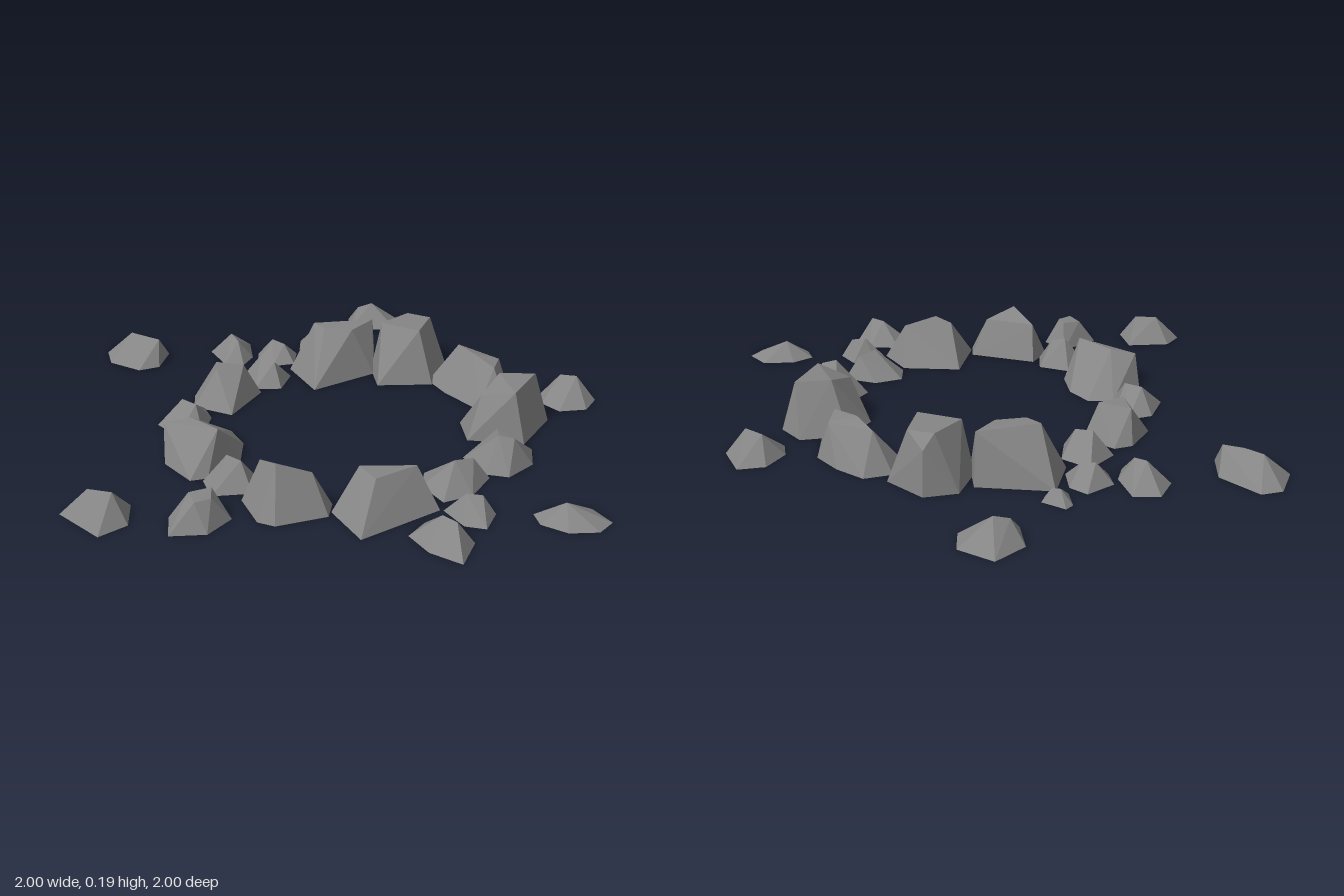
import * as THREE from 'three';
import { ConvexGeometry } from 'three/addons/geometries/ConvexGeometry.js';

// A ring of low-poly stones with smaller stones scattered around it.
export function createModel() {
  const model = new THREE.Group();
  model.name = 'stoneRing';
  const ring = new THREE.Group();
  ring.name = 'ringStones';
  const loose = new THREE.Group();
  loose.name = 'scatteredStones';
  model.add(ring, loose);

  const material = new THREE.MeshStandardMaterial({
    color: 0x858585, flatShading: true, side: THREE.DoubleSide,
  });

  // A stone is the hull of a ground outline [x, z] and a few crown points [x, y, z],
  // left open underneath.
  function stone(parent, name, outline, crown) {
    const points = outline.map(([x, z]) => new THREE.Vector3(x, 0, z));
    for (const p of crown) points.push(new THREE.Vector3(...p));
    const hull = new ConvexGeometry(points).getAttribute('position').array;
    const shell = [];
    for (let i = 0; i < hull.length; i += 9) {
      const onGround = Math.max(hull[i + 1], hull[i + 4], hull[i + 7]) < 0.001;
      if (!onGround) shell.push(...hull.slice(i, i + 9));
    }
    const geometry = new THREE.BufferGeometry();
    geometry.setAttribute('position', new THREE.Float32BufferAttribute(shell, 3));
    geometry.computeVertexNormals();
    const mesh = new THREE.Mesh(geometry, material);
    mesh.name = name;
    parent.add(mesh);
  }

  // Stones of the ring, clockwise from the back
  stone(ring, 'backStone',
    [[-0.26, -0.53], [0, -0.53], [0.03, -0.39], [-0.14, -0.19], [-0.28, -0.35]],
    [[-0.2, 0.175, -0.4], [0, 0.175, -0.49], [-0.15, 0.175, -0.36], [-0.05, 0.17, -0.38]]);
  stone(ring, 'tallBackStone',
    [[0.04, -0.58], [0.15, -0.62], [0.28, -0.52], [0.26, -0.35], [0.07, -0.29], [0.01, -0.43]],
    [[0.05, 0.19, -0.43], [0.21, 0.19, -0.53], [0.2, 0.19, -0.39], [0.12, 0.19, -0.55], [0.15, 0.15, -0.6]]);
  stone(ring, 'backLeftStone',
    [[0.27, -0.47], [0.36, -0.51], [0.46, -0.45], [0.54, -0.37], [0.56, -0.21], [0.46, -0.18], [0.32, -0.29], [0.24, -0.38]],
    [[0.41, 0.145, -0.34], [0.34, 0.135, -0.43], [0.5, 0.13, -0.26], [0.5, 0.125, -0.36]]);
  stone(ring, 'leftStone',
    [[0.42, -0.06], [0.47, -0.19], [0.63, -0.24], [0.71, -0.16], [0.66, 0.05], [0.47, 0.07]],
    [[0.54, 0.175, -0.12], [0.66, 0.175, -0.15], [0.62, 0.175, 0.03], [0.5, 0.14, 0]]);
  stone(ring, 'lowLeftStone',
    [[0.48, 0.2], [0.52, 0.11], [0.6, 0.05], [0.69, 0.08], [0.71, 0.19], [0.65, 0.3], [0.57, 0.3]],
    [[0.6, 0.11, 0.23], [0.65, 0.1, 0.22], [0.58, 0.09, 0.14]]);
  stone(ring, 'lowFrontLeftStone',
    [[0.38, 0.34], [0.47, 0.29], [0.59, 0.32], [0.56, 0.45], [0.48, 0.52], [0.39, 0.43]],
    [[0.49, 0.09, 0.4], [0.54, 0.08, 0.35]]);
  stone(ring, 'frontLeftStone',
    [[0.18, 0.46], [0.39, 0.45], [0.48, 0.57], [0.29, 0.81], [0.16, 0.67]],
    [[0.23, 0.135, 0.6], [0.4, 0.135, 0.55], [0.3, 0.135, 0.67]]);
  stone(ring, 'frontStone',
    [[-0.09, 0.57], [0.15, 0.62], [0.16, 0.7], [0.02, 0.8], [-0.04, 0.79], [-0.13, 0.67]],
    [[-0.08, 0.13, 0.63], [0.1, 0.13, 0.67], [0, 0.17, 0.72]]);
  stone(ring, 'lowFrontRightStone',
    [[-0.29, 0.58], [-0.23, 0.49], [-0.12, 0.52], [-0.11, 0.62], [-0.23, 0.67]],
    [[-0.21, 0.1, 0.57], [-0.16, 0.09, 0.58]]);
  stone(ring, 'frontRightStone',
    [[-0.5, 0.36], [-0.41, 0.22], [-0.32, 0.21], [-0.25, 0.29], [-0.22, 0.41], [-0.28, 0.56], [-0.33, 0.59], [-0.45, 0.5]],
    [[-0.39, 0.13, 0.4], [-0.27, 0.14, 0.48], [-0.48, 0.11, 0.42]]);
  stone(ring, 'lowRightStone',
    [[-0.58, 0.23], [-0.55, 0.1], [-0.47, 0.06], [-0.42, 0.13], [-0.41, 0.25], [-0.48, 0.3]],
    [[-0.51, 0.08, 0.17], [-0.45, 0.08, 0.2]]);
  stone(ring, 'rightStone',
    [[-0.54, -0.03], [-0.49, -0.16], [-0.43, -0.19], [-0.32, -0.12], [-0.36, 0.09], [-0.51, 0.06]],
    [[-0.45, 0.12, -0.02], [-0.37, 0.12, -0.08], [-0.48, 0.11, -0.1]]);
  stone(ring, 'lowBackRightStone',
    [[-0.43, -0.24], [-0.36, -0.35], [-0.26, -0.29], [-0.26, -0.17], [-0.35, -0.14]],
    [[-0.36, 0.09, -0.25], [-0.3, 0.08, -0.22]]);

  // Scattered stones outside the ring
  stone(loose, 'farBackStone',
    [[-0.2, -0.9], [-0.12, -1], [0, -0.94], [0.01, -0.84], [-0.17, -0.78]],
    [[-0.1, 0.085, -0.88], [-0.15, 0.07, -0.86]]);
  stone(loose, 'backPebble',
    [[-0.32, -0.62], [-0.3, -0.65], [-0.22, -0.61], [-0.23, -0.56], [-0.3, -0.54]],
    [[-0.28, 0.045, -0.6], [-0.25, 0.04, -0.59]]);
  stone(loose, 'backRightPebble',
    [[-0.44, -0.46], [-0.36, -0.54], [-0.3, -0.5], [-0.28, -0.4], [-0.35, -0.36], [-0.42, -0.39]],
    [[-0.38, 0.07, -0.45], [-0.33, 0.06, -0.44]]);
  stone(loose, 'backRightLooseStone',
    [[-0.62, -0.43], [-0.59, -0.53], [-0.5, -0.54], [-0.45, -0.42], [-0.46, -0.34], [-0.53, -0.33]],
    [[-0.54, 0.08, -0.44], [-0.5, 0.07, -0.4]]);
  stone(loose, 'farRightStone',
    [[-1, -0.32], [-0.97, -0.45], [-0.9, -0.48], [-0.77, -0.37], [-0.76, -0.24], [-0.82, -0.19], [-0.95, -0.23]],
    [[-0.91, 0.08, -0.35], [-0.78, 0.085, -0.3], [-0.85, 0.085, -0.32]]);
  stone(loose, 'backLeftLooseStone',
    [[0.65, -0.36], [0.69, -0.46], [0.78, -0.49], [0.85, -0.37], [0.83, -0.28], [0.74, -0.24], [0.67, -0.29]],
    [[0.78, 0.09, -0.36], [0.72, 0.08, -0.38]]);
  stone(loose, 'farLeftStone',
    [[0.76, 0.52], [0.82, 0.46], [0.93, 0.44], [1, 0.51], [0.97, 0.58], [0.88, 0.61], [0.79, 0.58]],
    [[0.86, 0.06, 0.53]]);
  stone(loose, 'frontLeftPebble',
    [[0.49, 0.57], [0.52, 0.53], [0.59, 0.48], [0.65, 0.55], [0.64, 0.65], [0.57, 0.65]],
    [[0.56, 0.07, 0.57], [0.61, 0.065, 0.56]]);
  stone(loose, 'frontLeftLooseStone',
    [[0.42, 0.75], [0.45, 0.66], [0.56, 0.65], [0.62, 0.74], [0.61, 0.87], [0.5, 0.83]],
    [[0.52, 0.08, 0.74], [0.57, 0.08, 0.77]]);
  stone(loose, 'frontRightPebble',
    [[-0.31, 0.83], [-0.2, 0.71], [-0.12, 0.79], [-0.16, 0.9], [-0.27, 0.94]],
    [[-0.25, 0.085, 0.81], [-0.19, 0.09, 0.77], [-0.17, 0.085, 0.83], [-0.21, 0.085, 0.87]]);
  stone(loose, 'farFrontRightStone',
    [[-0.64, 0.9], [-0.6, 0.82], [-0.45, 0.79], [-0.41, 0.91], [-0.47, 1]],
    [[-0.55, 0.09, 0.88], [-0.47, 0.09, 0.88]]);

  return model;
}
